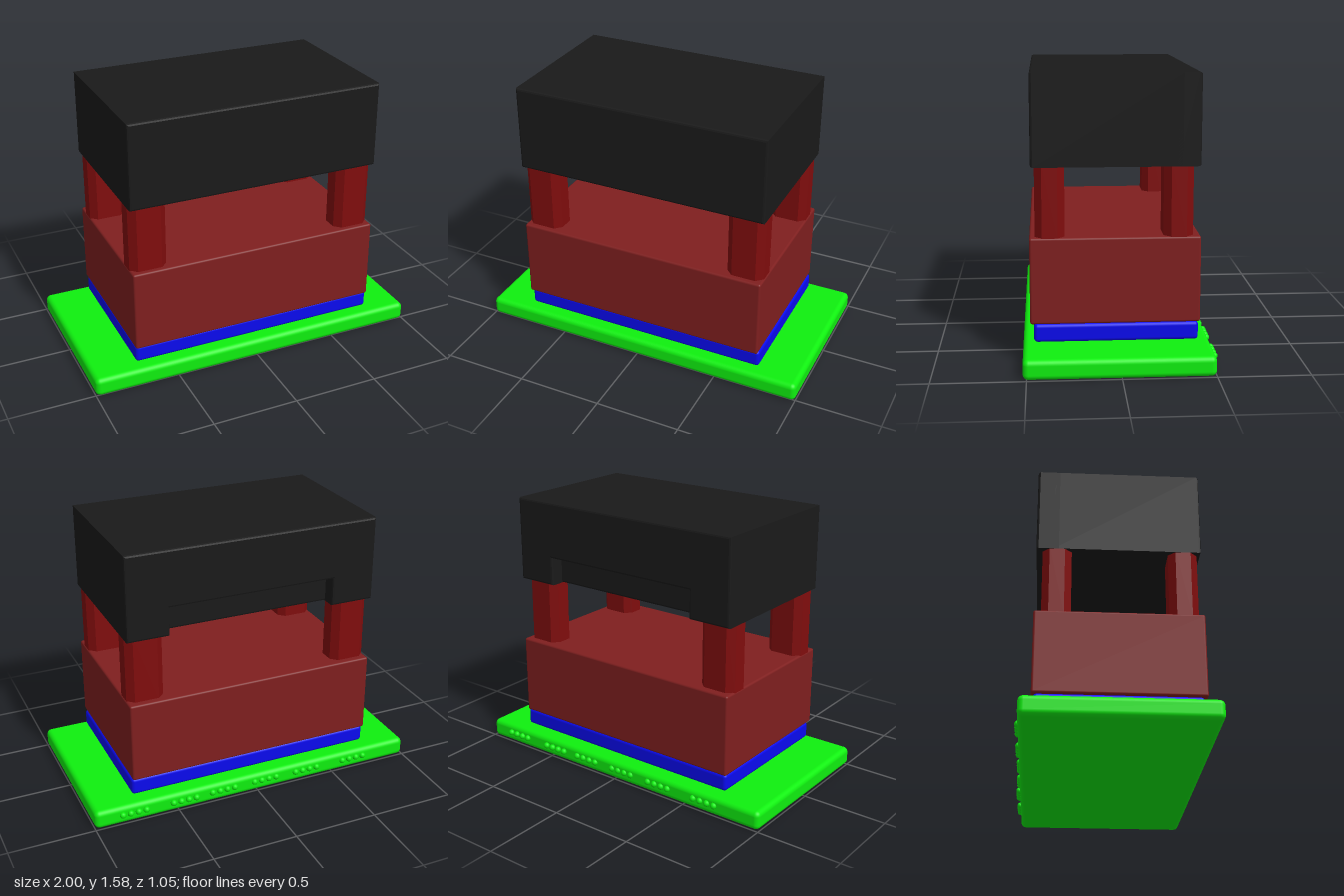
import * as THREE from 'three';
import { RoundedBoxGeometry } from 'three/addons/geometries/RoundedBoxGeometry.js';

const paint = (color, flatShading = false) => new THREE.MeshStandardMaterial({ color, flatShading });

export function createModel() {
  const model = new THREE.Group();
  const green = paint(0x0ff00f);
  const blue = paint(0x0a0aee);
  const red = paint(0x7f1f1f);
  const darkRed = paint(0x800d0d, true);
  const black = paint(0x1a1a1a, true);

  function add(name, geometry, material, x = 0, y = 0, z = 0) {
    const mesh = new THREE.Mesh(geometry, material);
    mesh.name = name;
    mesh.position.set(x, y, z);
    model.add(mesh);
    return mesh;
  }

  // Box given by its extents, with rounded edges
  function slab(name, material, [x0, x1], [y0, y1], [z0, z1], radius) {
    const geometry = new RoundedBoxGeometry(x1 - x0, y1 - y0, z1 - z0, 4, radius);
    add(name, geometry, material, (x0 + x1) / 2, (y0 + y1) / 2, (z0 + z1) / 2);
  }

  // Stacked layers
  slab('basePlate', green, [-1, 1], [0, 0.11], [-0.5, 0.52], 0.03);
  slab('spacer', blue, [-0.74, 0.755], [0.125, 0.226], [-0.43, 0.46], 0.02);
  slab('lowerBlock', red, [-0.745, 0.75], [0.225, 0.7], [-0.44, 0.48], 0.012);

  // Groups of four small studs along the back edge of the base
  const stud = new THREE.SphereGeometry(0.019, 12, 8);
  for (const [x, z] of [[-0.64, -0.5], [-0.32, -0.5], [-0.05, -0.497],
    [0.22, -0.5], [0.465, -0.507], [0.77, -0.505]]) {
    for (let i = 0; i < 4; i++) add('stud', stud, green, x + (i - 1.5) * 0.047, 0.062, z);
  }

  // Posts with chamfered corners
  const w = 0.108, d = 0.08, c = 0.038;
  const section = new THREE.Shape([
    [w, -d + c], [w, d - c], [w - c, d], [-w + c, d],
    [-w, d - c], [-w, -d + c], [-w + c, -d], [w - c, -d],
  ].map(([x, y]) => new THREE.Vector2(x, y)));
  const post = new THREE.ExtrudeGeometry(section, { depth: 0.42, bevelEnabled: false });
  post.rotateX(-Math.PI / 2);
  for (const x of [-0.635, 0.637]) {
    for (const z of [0.37, -0.32]) add('post', post, darkRed, x, 0.68, z);
  }

  // Upper block: a solid front part and a back part with a notch in its lower edge
  const b = 0.012;
  function block(name, points, z0, z1) {
    const shape = new THREE.Shape(points.map(([x, y]) => new THREE.Vector2(x, y)));
    const geometry = new THREE.ExtrudeGeometry(shape, {
      depth: z1 - z0 - 2 * b, bevelThickness: b, bevelSize: b, bevelOffset: -b, bevelSegments: 2,
    });
    add(name, geometry, black, 0, 0, z0 + b);
  }
  const left = -0.745, right = 0.75, bottom = 1.08, top = 1.575;
  block('upperBlock', [[left, bottom], [right, bottom], [right, top], [left, top]], -0.35, 0.47);
  block('upperBlockBack', [
    [left, bottom], [-0.485, bottom], [-0.485, 1.245], [0.505, 1.245],
    [0.505, bottom], [right, bottom], [right, top], [left, top],
  ], -0.435, -0.3);

  return model;
}
